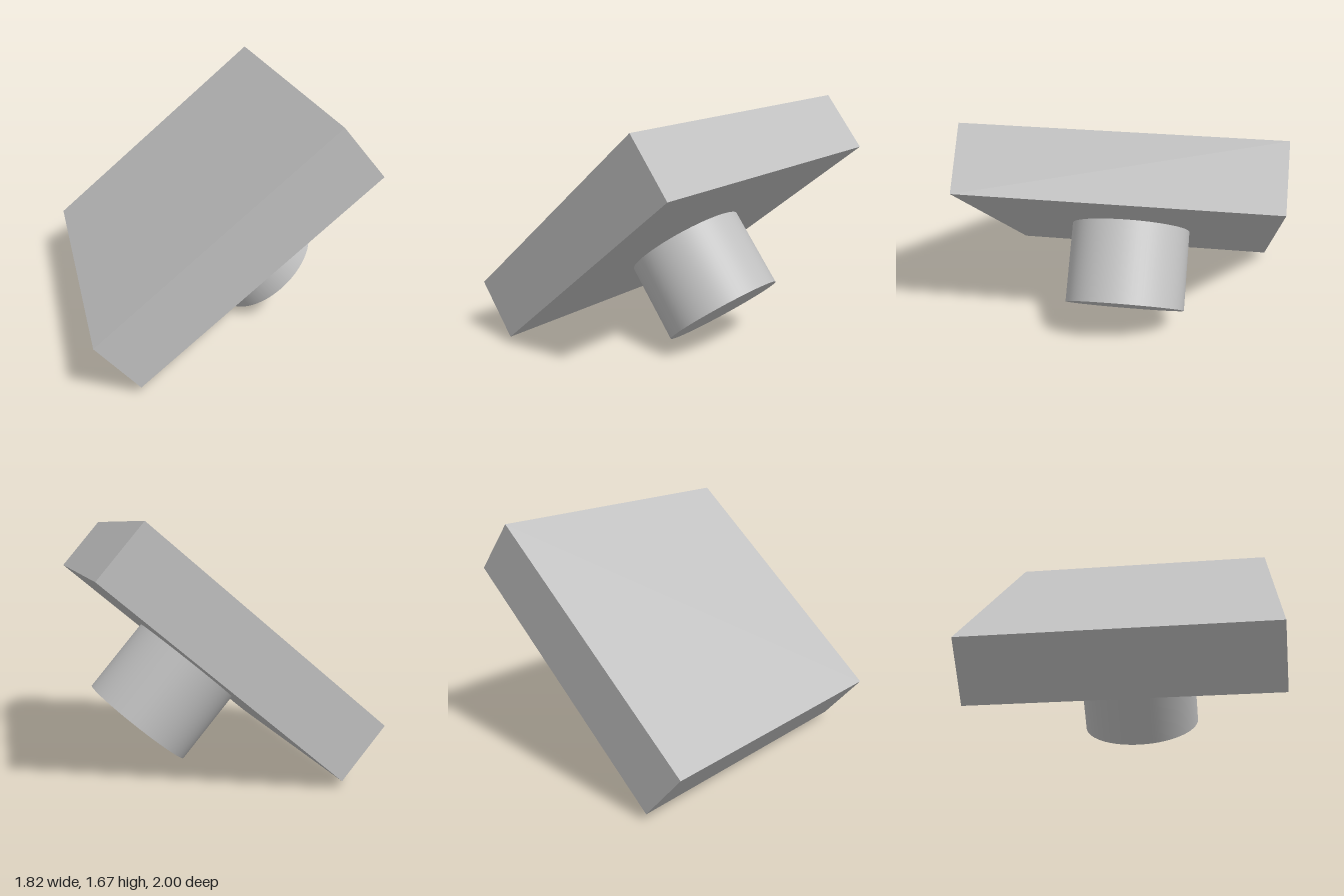
import * as THREE from 'three';

export function createModel() {
  const grey = new THREE.MeshStandardMaterial({ color: 0xc0c0c0 });
  grey.name = 'light grey';

  const length = 2, thickness = 0.444, radius = 0.415, stemHeight = 0.555;

  // Tilted assembly: square slab with a round stem underneath
  const assembly = new THREE.Group();
  assembly.name = 'tiltedAssembly';
  assembly.position.y = 0.862;
  assembly.rotation.z = THREE.MathUtils.degToRad(40);

  const slab = new THREE.Mesh(new THREE.BoxGeometry(length, thickness, length), grey);
  slab.name = 'slab';

  const stem = new THREE.Mesh(new THREE.CylinderGeometry(radius, radius, stemHeight, 64), grey);
  stem.name = 'stem';
  stem.position.y = -(thickness + stemHeight) / 2;

  assembly.add(slab, stem);

  const model = new THREE.Group();
  model.name = 'model';
  model.add(assembly);
  return model;
}
